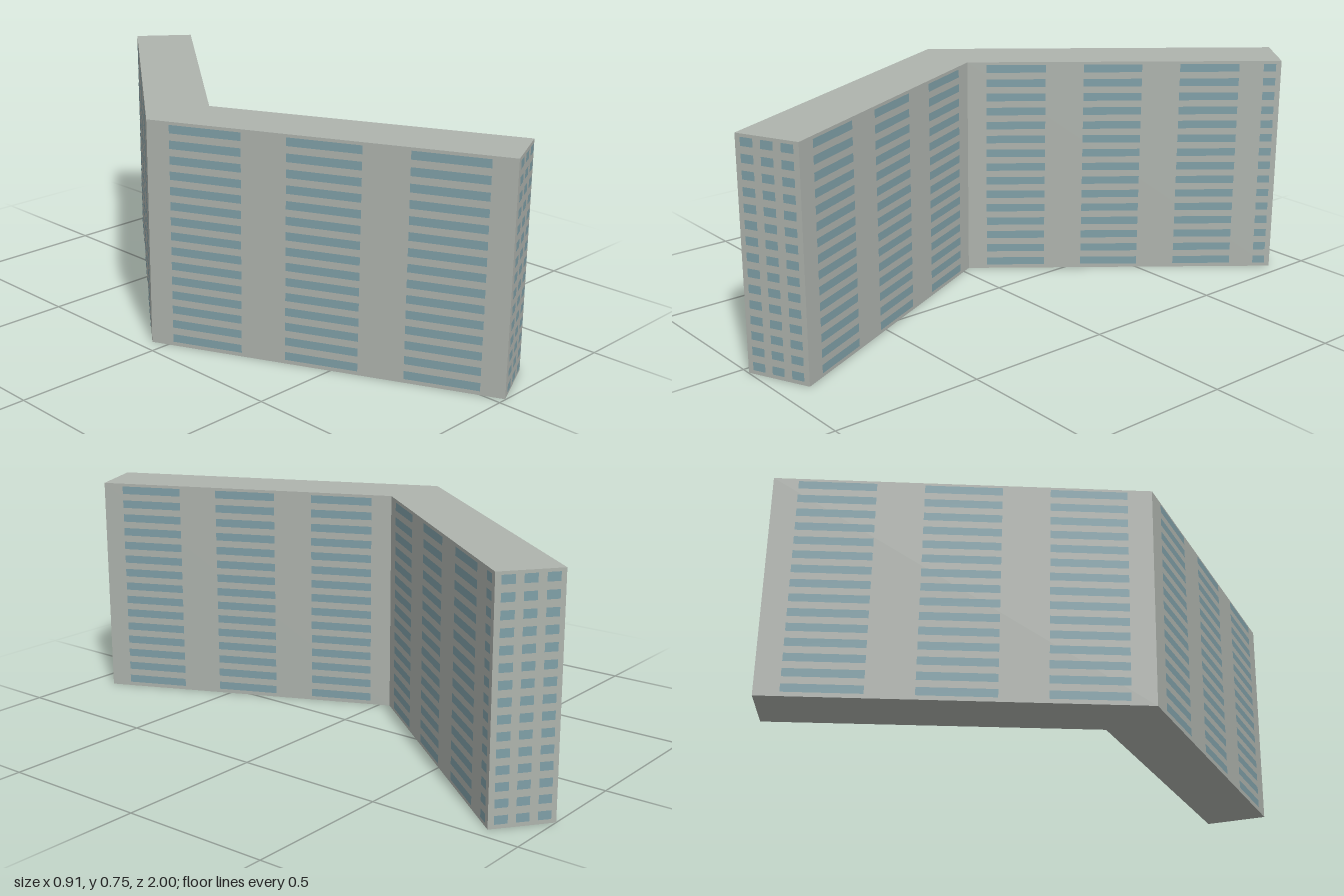
import * as THREE from 'three';
import { mergeGeometries } from 'three/addons/utils/BufferGeometryUtils.js';

const HEIGHT = 0.75, FLOORS = 15, WINDOW_HEIGHT = 0.027, OFFSET = 0.002;

// Plan corners as [x, z], counter-clockwise seen from above
const F = [-0.456, -0.052], E = [0.03, 0.998], D = [0.226, 0.908];
const C = [-0.21, -0.034], B = [0.456, -0.873], A = [0.293, -1];

// Window columns as fractions of the wall length
const LONG = [[0.066, 0.271], [0.397, 0.602], [0.729, 0.934]];
const END = [[0.085, 0.285], [0.405, 0.6], [0.725, 0.92]];
const INNER = [[0.06, 0.249], [0.37, 0.556], [0.677, 0.866], [0.944, 0.983]];

const WALLS = [
  ['westWindows', F, E, LONG],
  ['southEndWindows', E, D, END],
  ['innerSouthWindows', D, C, LONG],
  ['innerNorthWindows', C, B, INNER],
  ['northEndWindows', B, A, END],
  ['backWindows', A, F, LONG],
];

// One wall's window panes, laid out from p to q and facing outward
function wallWindows(p, q, columns) {
  const dx = q[0] - p[0], dz = q[1] - p[1], length = Math.hypot(dx, dz);
  const panes = [];
  for (const [from, to] of columns) {
    for (let i = 0; i < FLOORS; i++) {
      const pane = new THREE.PlaneGeometry((to - from) * length, WINDOW_HEIGHT);
      pane.translate(((from + to) / 2) * length, 0.027 + i * 0.05, OFFSET);
      panes.push(pane);
    }
  }
  return mergeGeometries(panes)
    .rotateY(Math.atan2(-dz, dx))
    .translate(p[0], 0, p[1]);
}

export function createModel() {
  const concrete = new THREE.MeshStandardMaterial({ color: 0xaeb3ad });
  concrete.name = 'concrete';
  const glass = new THREE.MeshStandardMaterial({ color: 0x7f9fa7 });
  glass.name = 'glass';

  const group = new THREE.Group();
  group.name = 'angledApartmentBlock';

  // Two-winged block, extruded from its plan
  const plan = new THREE.Shape([F, E, D, C, B, A].map(([x, z]) => new THREE.Vector2(x, -z)));
  const bodyGeometry = new THREE.ExtrudeGeometry(plan, { depth: HEIGHT, bevelEnabled: false });
  const body = new THREE.Mesh(bodyGeometry.rotateX(-Math.PI / 2), concrete);
  body.name = 'building';
  group.add(body);

  // Window bands on every wall
  for (const [name, p, q, columns] of WALLS) {
    const windows = new THREE.Mesh(wallWindows(p, q, columns), glass);
    windows.name = name;
    group.add(windows);
  }
  return group;
}
